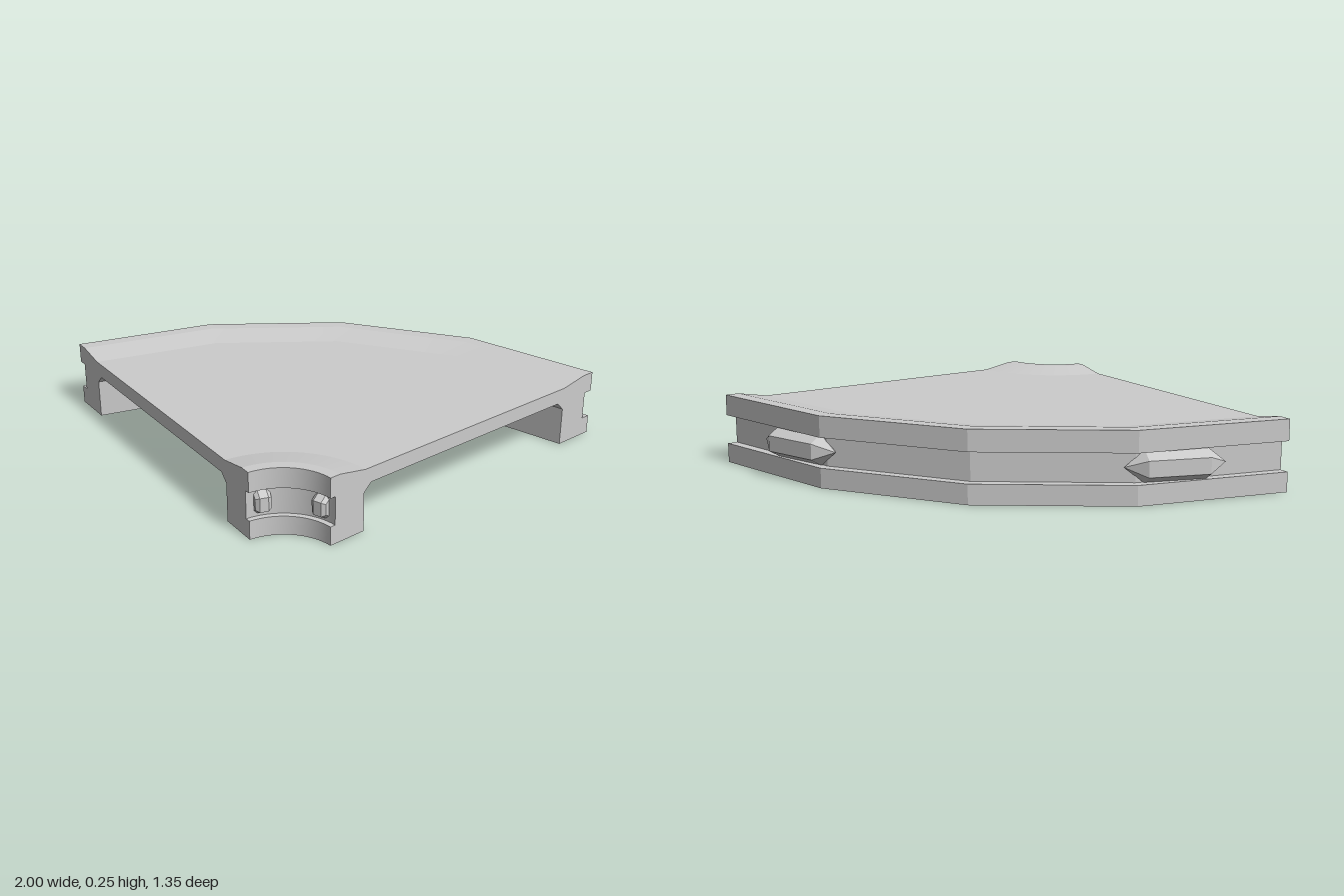
import * as THREE from 'three';
import { toCreasedNormals } from 'three/addons/utils/BufferGeometryUtils.js';

const HALF = THREE.MathUtils.degToRad(41.8); // half the wedge angle
const FACETS = 4;                            // flat sides of the outer rim
const STEPS = 16;                            // angular steps of the round hub
const CENTRE_Z = 0.82;                       // pivot of the wedge
const FACET = (2 * HALF) / FACETS;

// Cross-section as [radius, height], clockwise
const hubProfile = [
  [0.375, 0.175], [0.345, 0.145], [0.345, 0], [0.2, 0], [0.2, 0.07], [0.22, 0.07],
  [0.22, 0.175], [0.2, 0.175], [0.2, 0.25], [0.24, 0.25], [0.35, 0.23],
];
const rimProfile = [
  [1.34, 0.23], [1.45, 0.25], [1.5, 0.25], [1.5, 0.175], [1.465, 0.175], [1.465, 0.07],
  [1.5, 0.07], [1.5, 0], [1.34, 0], [1.34, 0.145], [1.31, 0.175],
];

// Point of the sweep: round near the hub, straight chords on the rim
function sweepPoint([r, y], step) {
  const a = (step / STEPS) * 2 * HALF;
  const chord = Math.cos(FACET / 2) / Math.cos((a % FACET) - FACET / 2);
  const R = r > 1 ? r * chord : r;
  return [R * Math.sin(a - HALF), y, CENTRE_Z - R * Math.cos(a - HALF)];
}

// Sweeps an open run of profile points around the pivot
function sweep(profile) {
  const pos = [];
  for (let i = 0; i < profile.length - 1; i++) {
    for (let k = 0; k < STEPS; k++) {
      const a = sweepPoint(profile[i], k), b = sweepPoint(profile[i + 1], k);
      const c = sweepPoint(profile[i + 1], k + 1), d = sweepPoint(profile[i], k + 1);
      pos.push(...a, ...d, ...c, ...a, ...c, ...b);
    }
  }
  const geo = new THREE.BufferGeometry();
  geo.setAttribute('position', new THREE.Float32BufferAttribute(pos, 3));
  return toCreasedNormals(geo, 0.14);
}

// Six-sided pin lying along the tangent, one flat facing outwards
function hexPin(points) {
  const geo = new THREE.LatheGeometry(points.map(([r, h]) => new THREE.Vector2(r, h)), 6);
  geo.rotateZ(-Math.PI / 2).rotateX(Math.PI / 2);
  return toCreasedNormals(geo, 0.1);
}

export function createModel() {
  const model = new THREE.Group();
  model.name = 'wedgePlatform';
  const grey = new THREE.MeshStandardMaterial({ color: 0xcccccc });
  const add = (parent, name, geo) => {
    const mesh = new THREE.Mesh(geo, grey);
    mesh.name = name;
    parent.add(mesh);
    return mesh;
  };

  // Swept surfaces
  add(model, 'hub', sweep(hubProfile));
  add(model, 'outerRim', sweep(rimProfile));
  add(model, 'deckTop', sweep([hubProfile.at(-1), rimProfile[0]]));
  add(model, 'deckUnderside', sweep([rimProfile.at(-1), hubProfile[0]]));

  // Parts shared by both halves
  const outline = [...hubProfile, ...rimProfile].reverse().map(([r, y]) => new THREE.Vector2(r, y));
  const cutGeo = new THREE.ShapeGeometry(new THREE.Shape(outline)).rotateY(Math.PI / 2);
  const outerPinGeo = hexPin([[0, -0.175], [0.055, -0.106], [0.055, 0.106], [0, 0.175]]);
  const innerPinGeo = hexPin([[0, -0.028], [0.04, -0.028], [0.052, -0.015],
    [0.052, 0.015], [0.04, 0.028], [0, 0.028]]);

  for (const side of [1, -1]) {
    const half = new THREE.Group();
    half.name = side > 0 ? 'leftHalf' : 'rightHalf';
    half.scale.x = side;
    model.add(half);

    const cut = add(half, 'cutFace', cutGeo);
    cut.position.z = CENTRE_Z;
    cut.rotation.y = -HALF;

    // Locating pins in the grooves
    for (const [name, geo, r, degrees] of [
      ['outerPin', outerPinGeo, 1.457, 26.2],
      ['innerPin', innerPinGeo, 0.235, 27],
    ]) {
      const a = THREE.MathUtils.degToRad(degrees);
      const pin = add(half, name, geo);
      pin.position.set(r * Math.sin(a), 0.1225, CENTRE_Z - r * Math.cos(a));
      pin.rotation.y = -a;
    }
  }
  return model;
}
